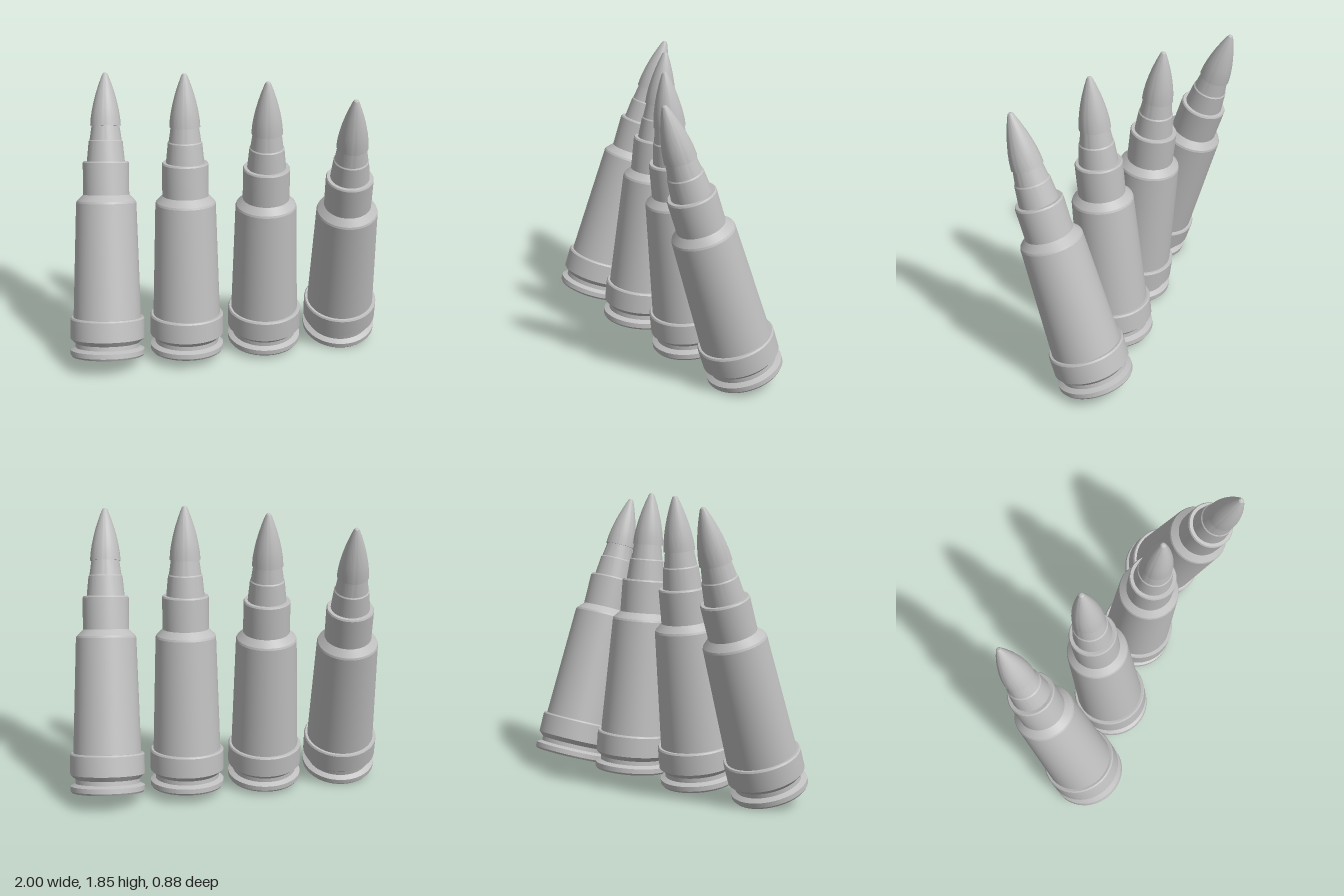
import * as THREE from 'three';
import { toCreasedNormals } from 'three/addons/utils/BufferGeometryUtils.js';

// Turned part from [radius, height] points, with crisp edges kept
function turned(name, profile, material) {
  const points = profile.map(([r, h]) => new THREE.Vector2(r, h));
  const mesh = new THREE.Mesh(toCreasedNormals(new THREE.LatheGeometry(points, 64), 0.3), material);
  mesh.name = name;
  return mesh;
}

export function createModel() {
  const model = new THREE.Group();
  model.name = 'cartridges';
  const metal = new THREE.MeshStandardMaterial({ color: 0xbfbfbf });
  metal.name = 'grey metal';

  const parts = {
    // rim with extractor groove below the belt
    rim: [[0, 0], [0.228, 0], [0.237, 0.012], [0.237, 0.042], [0.205, 0.058], [0.205, 0.085], [0.237, 0.115]],
    belt: [[0.237, 0.115], [0.237, 0.24], [0.23, 0.25], [0.21, 0.25]],
    // tapered body, shoulder and neck
    body: [[0.216, 0.245], [0.192, 0.982], [0.187, 0.995], [0.147, 1.035]],
    neck: [[0.147, 1.035], [0.147, 1.238], [0.141, 1.248], [0.115, 1.248]],
    // stepped collars under the bullet
    lowerCollar: [[0.121, 1.245], [0.108, 1.375], [0.1, 1.385]],
    upperCollar: [[0.102, 1.382], [0.088, 1.478]],
    // pointed bullet with a small blunt tip
    bullet: [[0.085, 1.475], [0.097, 1.475], [0.093, 1.525], [0.085, 1.575], [0.073, 1.63],
      [0.058, 1.685], [0.04, 1.74], [0.022, 1.788], [0.015, 1.803], [0.008, 1.808], [0, 1.809]],
  };

  // Row fanned about the x axis: x, base height, base z, tilt
  const row = [
    [0.762, 0.07, -0.218, 0.302],
    [0.254, 0.05, -0.073, 0.097],
    [-0.254, 0.047, 0.076, -0.108],
    [-0.762, 0.072, 0.217, -0.309],
  ];
  const meshes = Object.entries(parts).map(([name, profile]) => turned(name, profile, metal));
  row.forEach(([x, y, z, tilt], i) => {
    const cartridge = new THREE.Group();
    cartridge.name = `cartridge${i + 1}`;
    meshes.forEach((mesh) => cartridge.add(mesh.clone()));
    cartridge.position.set(x, y, z);
    cartridge.rotation.x = tilt;
    model.add(cartridge);
  });
  return model;
}
